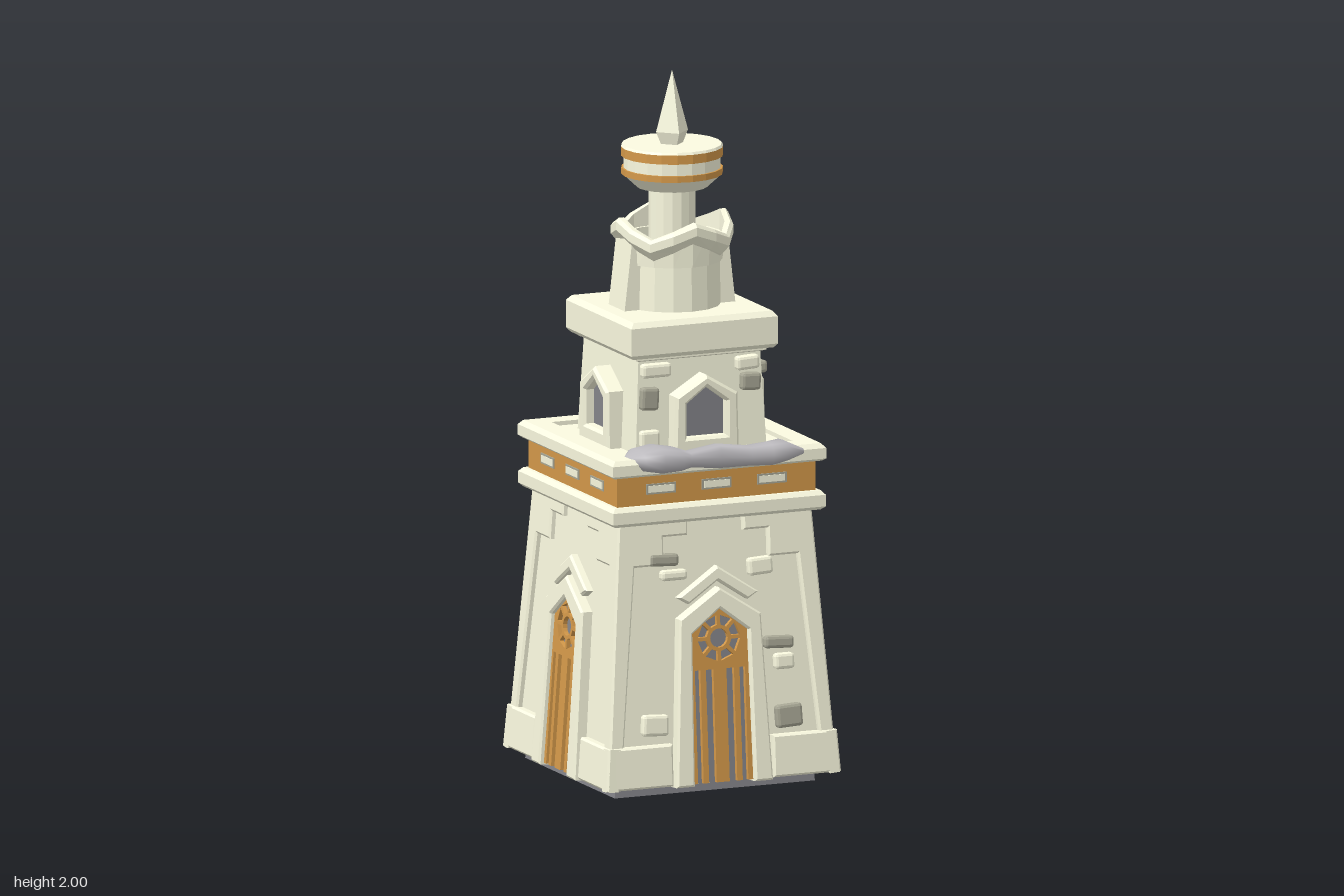
import * as THREE from 'three';
import { RoundedBoxGeometry } from 'three/addons/geometries/RoundedBoxGeometry.js';

const flat = (color, side = THREE.FrontSide) => new THREE.MeshStandardMaterial({ color, flatShading: true, side });
const stone = flat(0xfbfae0), darkStone = flat(0xa9a896), wood = flat(0xd4994a);
const dark = flat(0x85858a, THREE.DoubleSide), thinStone = flat(0xfbfae0, THREE.DoubleSide);
const snowMat = new THREE.MeshStandardMaterial({ color: 0xbcbabe, side: THREE.DoubleSide });
const LEAN = 0.073; // slope of the lower walls

function add(parent, name, geometry, material) {
  const mesh = new THREE.Mesh(geometry, material);
  mesh.name = name;
  parent.add(mesh);
  return mesh;
}

// Square or round stack from [half width, y] pairs, bottom to top
function stack(parent, name, profile, material, sides = 4) {
  const k = sides === 4 ? Math.SQRT2 : 1;
  const pts = profile.map(([r, y]) => new THREE.Vector2(r * k, y));
  return add(parent, name, new THREE.LatheGeometry(pts, sides, sides === 4 ? Math.PI / 4 : 0), material);
}

const path = (pts, Type = THREE.Shape) => new Type(pts.map(([x, y]) => new THREE.Vector2(x, y)));

// Extruded plate whose outer surface lies at z = front
function plate(parent, name, shape, front, depth, material, bevel = 0) {
  const geo = new THREE.ExtrudeGeometry(shape, {
    depth: depth - bevel, curveSegments: 8, bevelEnabled: bevel > 0,
    bevelSize: bevel, bevelOffset: -bevel, bevelThickness: bevel, bevelSegments: 1,
  });
  const mesh = add(parent, name, geo, material);
  mesh.position.z = front - depth;
  return mesh;
}

// Pointed arch outline: half width at foot and shoulder, foot y, shoulder y, peak y
const arch = (foot, top, y0, y1, peak) => [[-foot, y0], [foot, y0], [top, y1], [0, peak], [-top, y1]];

// Bricks: [x, y, width, height, dark]
function bricks(parent, list, front) {
  list.forEach(([x, y, w, h, isDark], i) => {
    const b = add(parent, 'wallBrick', new RoundedBoxGeometry(w, h, 0.03, 1, 0.009), isDark ? darkStone : stone);
    b.position.set(x, y, front);
    b.rotation.z = (i % 3 - 1) * 0.05;
  });
}

// Pierced door screen: a comb of bars below a rose
function screenShape() {
  const pts = [[0.1, 0.03], [0.092, 0.46], [0, 0.53], [-0.092, 0.46], [-0.1, 0.03]];
  for (const [a, b] of [[-0.077, -0.06], [-0.043, -0.02], [0.02, 0.043], [0.06, 0.077]]) {
    pts.push([a, 0.03], [a, 0.35], [b, 0.35], [b, 0.03]);
  }
  const s = path(pts);
  const cy = 0.437;
  const eye = new THREE.Path();
  eye.absarc(0, cy, 0.027, 0, Math.PI * 2, true);
  s.holes.push(eye);
  for (let i = 0; i < 8; i++) {
    const a = i * Math.PI / 4 + 0.08, b = (i + 1) * Math.PI / 4 - 0.08;
    const p = (r, t) => [r * Math.cos(t), cy + r * Math.sin(t)];
    s.holes.push(path([p(0.038, a + 0.06), p(0.065, a), p(0.065, b), p(0.038, b - 0.06)], THREE.Path));
  }
  return s;
}

// One side of the lower storey, leaning with the wall
function lowerSide(brickList) {
  const g = new THREE.Group();
  g.name = 'lowerSide';
  g.rotation.x = -LEAN;
  g.position.y = -0.026;
  for (const s of [-1, 1]) {
    const m = (pts) => path(pts.map(([x, y]) => [s * x, y]));
    plate(g, 'cornerFoot', m([[0.153, 0.03], [0.36, 0.03], [0.3512, 0.15], [0.153, 0.15]]), 0.363, 0.035, stone, 0.006);
    plate(g, 'cornerStrip', m([[0.3, 0.14], [0.3438, 0.14], [0.2968, 0.785], [0.085, 0.785], [0.085, 0.735],
      [0.16, 0.735], [0.16, 0.655], [0.25, 0.655]]), 0.355, 0.03, stone, 0.006);
  }
  // Door surround, open at the foot
  const surround = path([[0.148, 0.025], [0.125, 0.5], [0, 0.582], [-0.125, 0.5], [-0.148, 0.025],
    [-0.092, 0.025], [-0.086, 0.456], [0, 0.522], [0.086, 0.456], [0.092, 0.025]]);
  plate(g, 'doorFrame', surround, 0.371, 0.045, stone, 0.006);
  plate(g, 'doorScreen', screenShape(), 0.355, 0.013, wood);
  plate(g, 'doorShadow', path(arch(0.1, 0.092, 0.03, 0.46, 0.53)), 0.34, 0.01, dark);
  plate(g, 'doorHood', path([[0, 0.6], [0.09, 0.54], [0.123, 0.56], [0, 0.642], [-0.123, 0.56], [-0.09, 0.54]]),
    0.362, 0.035, stone, 0.006);
  bricks(g, brickList, 0.344);
  return g;
}

// One side of the upper storey and the belt below it
function upperSide(brickList) {
  const g = new THREE.Group();
  g.name = 'upperSide';
  const frame = path(arch(0.1, 0.095, 0.94, 1.115, 1.172));
  frame.holes.push(path(arch(0.061, 0.061, 0.996, 1.093, 1.138).reverse(), THREE.Path));
  plate(g, 'windowFrame', frame, 0.243, 0.06, stone, 0.008);
  plate(g, 'windowPane', path(arch(0.075, 0.075, 0.98, 1.1, 1.155)), 0.212, 0.02, dark);
  for (const x of [-0.17, 0, 0.17]) {
    add(g, 'beltSlotRim', new THREE.BoxGeometry(0.09, 0.03, 0.01), darkStone).position.set(x, 0.875, 0.302);
    add(g, 'beltSlot', new THREE.BoxGeometry(0.078, 0.019, 0.012), stone).position.set(x, 0.875, 0.303);
  }
  bricks(g, brickList, 0.2);
  return g;
}

// Wavy collar rising to a point on each of the four sides
function collar() {
  const pos = [], idx = [], n = 16;
  for (let i = 0; i <= n; i++) {
    const t = i / n * Math.PI * 2;
    const up = 0.024 * Math.abs(i % 4 - 2);
    const ring = [[0.128, 1.47], [0.148, 1.482], [0.172, 1.508], [0.172, 1.532], [0.163, 1.542], [0.147, 1.542], [0.142, 1.46]];
    ring.forEach(([r, y], j) => pos.push(r * Math.sin(t), y + (j === 6 ? 0 : up), r * Math.cos(t)));
    if (i < n) for (let j = 0; j < 6; j++) {
      const a = i * 7 + j, b = a + 7;
      idx.push(a, b, a + 1, b, b + 1, a + 1);
    }
  }
  return indexed(pos, idx);
}

function indexed(pos, idx) {
  const geo = new THREE.BufferGeometry();
  geo.setAttribute('position', new THREE.Float32BufferAttribute(pos, 3));
  geo.setIndex(idx);
  geo.computeVertexNormals();
  return geo;
}

// Snow drift from cross-sections: x, back z, front z, bottom y, top y
function snow() {
  const cuts = [[-0.262, 0.25, 0.3, 0.95, 0.967], [-0.235, 0.215, 0.345, 0.93, 0.985], [-0.18, 0.215, 0.358, 0.92, 0.996],
    [-0.12, 0.225, 0.35, 0.922, 0.985], [-0.09, 0.27, 0.338, 0.93, 0.975], [0, 0.275, 0.338, 0.92, 0.99],
    [0.09, 0.28, 0.348, 0.922, 0.978], [0.15, 0.283, 0.36, 0.92, 0.984], [0.195, 0.265, 0.37, 0.93, 0.986], [0.25, 0.325, 0.34, 0.945, 0.96]];
  const pos = [], idx = [], n = 12;
  const boxy = (v) => Math.sign(v) * Math.abs(v) ** 0.7;
  cuts.forEach(([x, zb, zf, y0, y1], i) => {
    for (let j = 0; j < n; j++) {
      const t = j / n * Math.PI * 2;
      pos.push(x, (y0 + y1) / 2 + (y1 - y0) / 2 * boxy(Math.sin(t)), (zb + zf) / 2 + (zf - zb) / 2 * boxy(Math.cos(t)));
      if (i < cuts.length - 1) {
        const a = i * n + j, b = i * n + (j + 1) % n;
        idx.push(a, a + n, b, b, a + n, b + n);
      }
    }
  });
  for (let j = 1; j < n - 1; j++) {
    const e = (cuts.length - 1) * n;
    idx.push(0, j, j + 1, e, e + j + 1, e + j);
  }
  return indexed(pos, idx);
}

export function createModel() {
  const model = new THREE.Group();
  const tower = new THREE.Group();
  model.name = 'snowyTower';
  tower.name = 'tower';
  tower.position.z = -0.006;
  model.add(tower);

  // Hollow lower storey with a dark lining open at the foot, then belt and ledge
  stack(tower, 'lining', [[0.307, 0], [0.305, 0.03], [0.262, 0.77], [0, 0.77]], dark).position.x = -0.006;
  stack(tower, 'lowerWall', [[0.3, 0.028], [0.334, 0.028], [0.279, 0.79]], thinStone);
  stack(tower, 'cornice', [[0.27, 0.775], [0.315, 0.775], [0.326, 0.785], [0.326, 0.818], [0.315, 0.83], [0.28, 0.83]], stone);
  stack(tower, 'belt', [[0.304, 0.825], [0.304, 0.92]], wood);
  stack(tower, 'ledge', [[0.28, 0.915], [0.318, 0.915], [0.327, 0.922], [0.327, 0.952], [0.315, 0.965],
    [0.255, 0.965], [0.255, 0.953], [0, 0.953]], stone);

  // Upper storey and its cap
  stack(tower, 'upperWall', [[0.2, 0.95], [0.187, 1.215], [0.2, 1.22], [0.2, 1.24]], stone);
  stack(tower, 'cap', [[0.18, 1.228], [0.215, 1.228], [0.225, 1.24], [0.225, 1.318], [0.212, 1.333], [0, 1.333]], stone);

  // Four sides; loose bricks on the front and the model's left
  const lower = [
    [[-0.16, 0.67, 0.09, 0.035, 1], [-0.13, 0.625, 0.08, 0.03, 0], [0.135, 0.63, 0.075, 0.05, 0], [0.185, 0.41, 0.09, 0.035, 1],
      [0.2, 0.355, 0.06, 0.045, 0], [0.21, 0.2, 0.08, 0.065, 1], [-0.2, 0.205, 0.08, 0.06, 0]],
    [[-0.095, 0.665, 0.07, 0.07, 1], [0.165, 0.675, 0.09, 0.035, 0], [0.145, 0.625, 0.08, 0.04, 1], [-0.195, 0.385, 0.09, 0.033, 1],
      [-0.205, 0.215, 0.07, 0.06, 0], [0.19, 0.22, 0.09, 0.035, 1]], [], []];
  const upper = [
    [[-0.16, 1.11, 0.055, 0.065, 1], [-0.14, 1.19, 0.09, 0.04, 0], [0.14, 1.19, 0.07, 0.04, 0], [0.15, 1.135, 0.06, 0.05, 1],
      [-0.16, 0.995, 0.06, 0.05, 0]],
    [[-0.14, 1.165, 0.08, 0.035, 1], [-0.13, 1.005, 0.05, 0.06, 0]], [], []];
  for (let i = 0; i < 4; i++) {
    const side = new THREE.Group();
    side.name = 'side';
    side.rotation.y = i * Math.PI / 2;
    side.add(lowerSide(lower[i]), upperSide(upper[i]));
    tower.add(side);
  }

  // Round turret with two side buttresses and a collar
  stack(tower, 'turret', [[0.137, 1.33], [0.133, 1.53], [0.125, 1.53], [0.125, 1.5], [0, 1.5]], stone, 16);
  for (const s of [-1, 1]) {
    const rib = path([[0.1, 1.33], [0.17, 1.33], [0.147, 1.53], [0.1, 1.53]].map(([x, y]) => [s * x, y]));
    plate(tower, 'turretButtress', rib, 0.055, 0.11, stone);
  }
  add(tower, 'collar', collar(), thinStone);

  // Neck, banded lantern disc and spire
  stack(tower, 'neck', [[0.066, 1.48], [0.066, 1.68]], stone, 16);
  stack(tower, 'lanternBase', [[0.06, 1.668], [0.1, 1.668], [0.14, 1.705]], stone, 20);
  stack(tower, 'lowerBand', [[0.13, 1.705], [0.143, 1.705], [0.143, 1.723], [0.13, 1.723]], wood, 20);
  stack(tower, 'lanternDrum', [[0.137, 1.72], [0.137, 1.76]], stone, 20);
  stack(tower, 'upperBand', [[0.13, 1.757], [0.144, 1.757], [0.144, 1.783]], wood, 20);
  stack(tower, 'lanternTop', [[0.144, 1.783], [0.14, 1.79], [0, 1.79]], stone, 20);
  const spire = [[0.032, 1.785], [0.049, 1.825], [0, 2]].map(([r, y]) => new THREE.Vector2(r, y));
  add(tower, 'spire', new THREE.LatheGeometry(spire, 4), stone);

  add(model, 'snowDrift', snow(), snowMat);
  return model;
}
